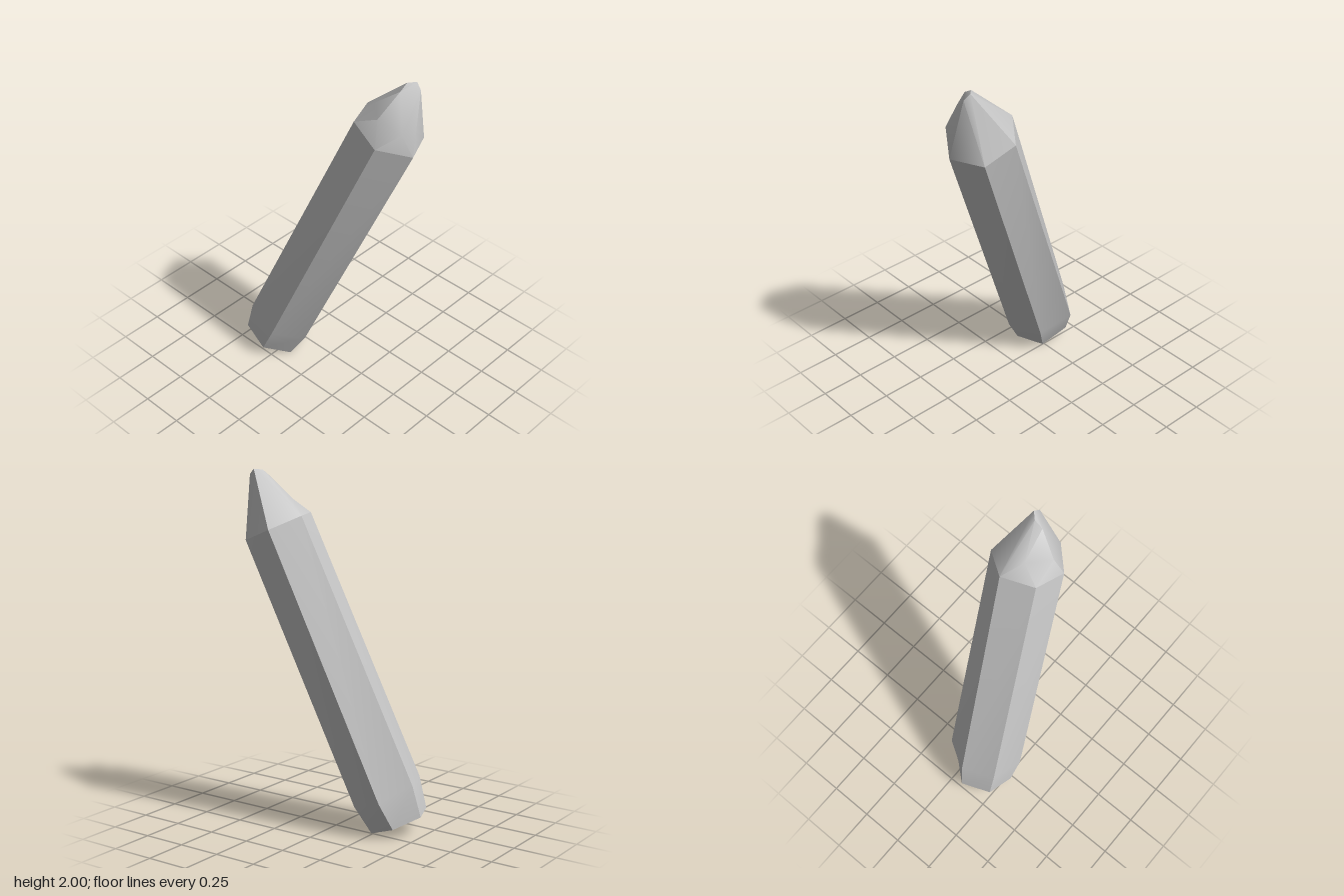
import * as THREE from 'three';
import { toCreasedNormals } from 'three/addons/utils/BufferGeometryUtils.js';

export function createModel() {
  const stone = new THREE.MeshStandardMaterial({ color: 0xc7c7c7 });
  stone.name = 'pale grey stone';

  const group = new THREE.Group();
  group.name = 'crystalShard';

  // Adds a named part from corner triples, keeping edges sharper than the crease angle
  function addPart(name, triangles, crease) {
    const geometry = new THREE.BufferGeometry();
    geometry.setAttribute('position', new THREE.Float32BufferAttribute(triangles.flat(2), 3));
    const mesh = new THREE.Mesh(toCreasedNormals(geometry, crease), stone);
    mesh.name = name;
    group.add(mesh);
  }

  // Six-sided rings, starting at the left edge and turning anticlockwise from above
  const shoulder = [
    [0.13, 1.76, -0.14], [0.20, 1.76, 0.04], [0.38, 1.69, 0.08],
    [0.50, 1.62, -0.08], [0.42, 1.62, -0.26], [0.24, 1.69, -0.29],
  ];
  const shaft = [
    [-0.465, 0.30, 0.065], [-0.395, 0.30, 0.25], [-0.20, 0.22, 0.29],
    [-0.085, 0.155, 0.13], [-0.165, 0.155, -0.06], [-0.36, 0.22, -0.11],
  ];
  const base = [
    [-0.505, 0.12, 0.09], [-0.44, 0.12, 0.255], [-0.28, 0.06, 0.285],
    [-0.18, 0, 0.16], [-0.24, 0, 0], [-0.40, 0.06, -0.03],
  ];

  // Long sides, the bevel above the base and the flat underside
  const body = [];
  for (const [low, high] of [[base, shaft], [shaft, shoulder]]) {
    for (let i = 0; i < 6; i++) {
      const j = (i + 1) % 6;
      body.push([low[i], low[j], high[j]], [low[i], high[j], high[i]]);
    }
  }
  for (let i = 1; i < 5; i++) body.push([base[0], base[i + 1], base[i]]);
  addPart('shaft', body, 0.55);

  // Irregular chipped tip
  const [A, B, C, D, E, F] = shoulder;
  const W = [0.24, 1.84, -0.07], P = [0.35, 1.835, 0.03], Q = [0.47, 1.77, -0.02];
  const T1 = [0.43, 2, -0.17], T2 = [0.465, 1.97, -0.16];
  const T3 = [0.395, 1.995, -0.135], T4 = [0.395, 1.965, -0.085];
  addPart('tip', [
    [A, B, W], [B, P, W], [B, C, P], [C, Q, P], [C, D, Q], [D, T2, Q],
    [D, E, T2], [E, T1, T2], [E, F, T1], [F, A, T1], [A, T3, T1], [A, W, T3],
    [W, P, T4], [W, T4, T3], [P, Q, T4], [Q, T2, T4], [T3, T4, T1], [T4, T2, T1],
  ], 0.9);

  return group;
}
